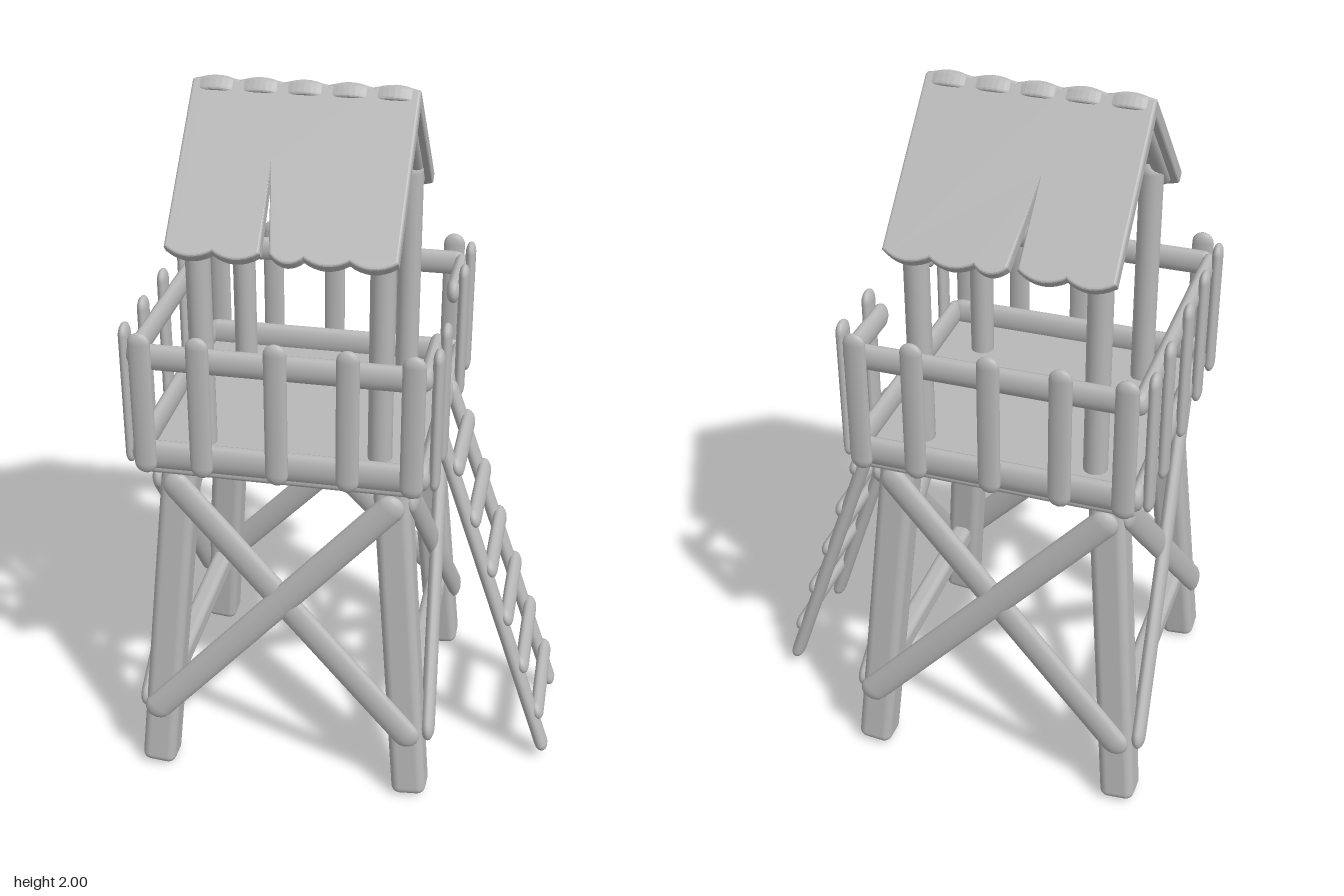
import * as THREE from 'three';
import { RoundedBoxGeometry } from 'three/addons/geometries/RoundedBoxGeometry.js';

const wood = new THREE.MeshStandardMaterial({ color: 0xb8b8b8 });
wood.name = 'plain grey wood';

const V = (x, y, z) => new THREE.Vector3(x, y, z);

function add(parent, name, geometry) {
  const mesh = new THREE.Mesh(geometry, wood);
  mesh.name = name;
  parent.add(mesh);
  return mesh;
}

// Group turned about y by an angle in degrees
function turned(parent, name, degrees) {
  const group = new THREE.Group();
  group.name = name;
  group.rotation.y = THREE.MathUtils.degToRad(degrees);
  parent.add(group);
  return group;
}

// Place a geometry built along y between a and b, its z side facing the given normal
function span(mesh, a, b, normal) {
  const y = b.clone().sub(a).normalize();
  const x = y.clone().cross(normal).normalize();
  const z = x.clone().cross(y);
  mesh.quaternion.setFromRotationMatrix(new THREE.Matrix4().makeBasis(x, y, z));
  mesh.position.copy(a).add(b).multiplyScalar(0.5);
  return mesh;
}

// Round-ended stick, w wide and t thick
function stick(parent, name, a, b, w, t = w, normal = V(0, 0, 1)) {
  const length = Math.max(0.001, a.distanceTo(b) - w);
  const geometry = new THREE.CapsuleGeometry(w / 2, length, 5, 14);
  geometry.scale(1, 1, t / w);
  return span(add(parent, name, geometry), a, b, normal);
}

const corners = [[-1, -1], [-1, 1], [1, -1], [1, 1]];
const sides = ['front', 'ladder', 'back', 'far'];

// Half distance between the splayed legs at height y
const legHalf = (y) => 0.38 - 0.088 * y;

// Splayed legs with crossed braces and low tie beams
function buildFrame(frame) {
  for (const [sx, sz] of corners) {
    const foot = V(sx * legHalf(0), 0.008, sz * legHalf(0));
    const head = V(sx * legHalf(1), 1.02, sz * legHalf(1));
    const leg = new RoundedBoxGeometry(0.1, foot.distanceTo(head), 0.1, 4, 0.025);
    span(add(frame, 'leg', leg), foot, head, V(0, 0, 1));
  }
  sides.forEach((name, i) => {
    const side = turned(frame, name + 'Bracing', i * 90);
    const low = 0.2, high = 0.98;
    for (const s of [-1, 1]) {
      const out = 0.054 + (s > 0 ? 0.01 : 0);
      stick(side, 'crossBrace',
        V(-s * (legHalf(low) + 0.03), low, legHalf(low) + out),
        V(s * (legHalf(high) + 0.03), high, legHalf(high) + out), 0.082, 0.04);
    }
    if (i % 2) {
      const z = legHalf(0.26);
      const beam = new RoundedBoxGeometry(0.07, 0.74, 0.06, 3, 0.02);
      span(add(side, 'tieBeam', beam), V(-0.37, 0.26, z), V(0.37, 0.26, z), V(0, 0, 1));
    }
  });
}

// Rails and pickets, with an opening on the ladder side
function buildRailing(railing) {
  sides.forEach((name, i) => {
    const side = turned(railing, name + 'Railing', i * 90);
    const open = name === 'ladder';
    stick(side, 'lowerRail', V(-0.405, 1.068, 0.387), V(0.405, 1.068, 0.387), 0.085, 0.042);
    const runs = open ? [[-0.4, -0.15], [0.15, 0.4]] : [[-0.405, 0.405]];
    for (const [x0, x1] of runs) {
      stick(side, 'topRail', V(x0, 1.36, 0.387), V(x1, 1.36, 0.387), 0.074, 0.042);
    }
    for (const x of [-0.36, -0.205, 0, 0.19, 0.36]) {
      if (open && x === 0) continue;
      stick(side, 'picket', V(x, 1.025, 0.415), V(x, 1.44, 0.415), 0.062, 0.03);
    }
  });
}

// Roof slope as one slab with rounded plank ends; the tapering slit opens from slitX towards slitEnd
function roofSlope(slitX, slitEnd) {
  const half = 0.295, plank = 0.118, top = 0.018, eave = -0.448;
  const shape = new THREE.Shape();
  shape.moveTo(-half, top);
  for (let i = 0; i < 5; i++) {
    const x = -half + i * plank;
    shape.quadraticCurveTo(x + plank / 2, top + 0.03, x + plank, top);
  }
  shape.lineTo(half, eave);
  for (let i = 5; i > 0; i--) {
    const right = -half + i * plank, left = right - plank;
    const atSlit = Math.abs(left - slitX) < 0.01;
    const previousSlit = Math.abs(right - slitX) < 0.01;
    const endX = atSlit ? Math.max(slitX, slitEnd) : left;
    const startX = previousSlit ? Math.min(slitX, slitEnd) : right;
    shape.quadraticCurveTo((startX + endX) / 2, eave - 0.04, endX, eave);
    if (atSlit) {
      shape.lineTo(slitX, -0.2);
      shape.lineTo(Math.min(slitX, slitEnd), eave);
    }
  }
  shape.closePath();
  return new THREE.ExtrudeGeometry(shape, {
    depth: 0.024, bevelEnabled: true, bevelThickness: 0.008, bevelSize: 0.007, bevelSegments: 3, curveSegments: 8,
  });
}

function buildRoof(roof) {
  for (const s of [1, -1]) {
    const slope = turned(roof, s > 0 ? 'frontSlope' : 'backSlope', s > 0 ? 0 : 180);
    // The slit widens towards +x on the front slope and on the back slope alike
    const slab = add(slope, 'roofPlanks', roofSlope(-0.059 * s, -0.022 * s));
    slab.position.set(0, 1.953, 0);
    slab.rotation.x = -Math.PI / 4;
    // Rafters below the gable edges
    for (const x of [-0.26, 0.26]) {
      stick(slope, 'rafter', V(x, 1.95, -0.01), V(x, 1.635, 0.315), 0.045);
    }
  }
  for (const x of [-0.265, 0.265]) {
    stick(roof, 'gableBeam', V(x, 1.67, -0.335), V(x, 1.67, 0.335), 0.05);
  }
}

function buildLadder(ladder) {
  const normal = V(0.95, 0.33, 0);
  for (const s of [-1, 1]) {
    stick(ladder, 'ladderRail', V(0.755, 0.03, s * 0.163), V(0.39, 1.1, s * 0.135), 0.062, 0.04, normal);
  }
  for (let i = 0; i < 6; i++) {
    const y = 0.17 + i * 0.161;
    const x = 0.755 - 0.341 * (y - 0.03) + 0.02;
    const half = 0.183 - 0.003 * i;
    stick(ladder, 'rung', V(x, y, -half), V(x, y, half), 0.06, 0.036, normal);
  }
}

export function createModel() {
  const model = new THREE.Group();
  model.name = 'watchtower';
  const tower = turned(model, 'tower', 34.5);
  tower.position.x = -0.067;

  buildFrame(turned(tower, 'legFrame', 0));

  // Platform and roof posts
  add(tower, 'floor', new RoundedBoxGeometry(0.77, 0.04, 0.77, 3, 0.015)).position.y = 1.022;
  for (const [sx, sz] of corners) {
    const x = sx * 0.245 + 0.005, z = sz * 0.245;
    stick(tower, 'roofPost', V(x, 1.0, z), V(x, 1.72, z), 0.068);
  }

  buildRailing(turned(tower, 'railing', 0));
  buildLadder(turned(tower, 'ladder', 0));
  buildRoof(turned(tower, 'roof', 0));
  return model;
}
